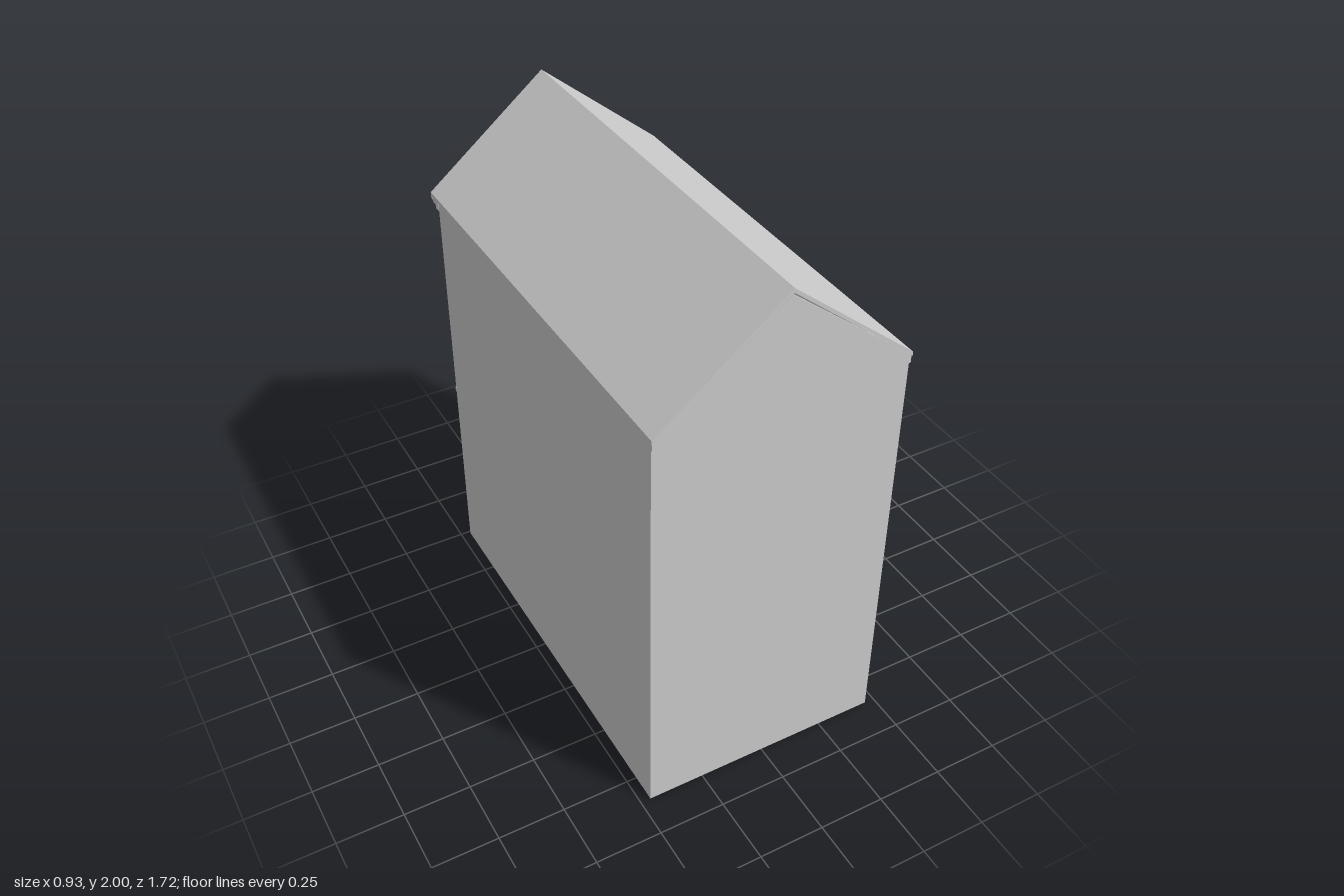
import * as THREE from 'three';

const stone = new THREE.MeshStandardMaterial({ color: 0xcccccc, side: THREE.DoubleSide });
stone.name = 'pale grey';

const W = 0.462, FACE = -0.74, BACK = 0.855, EAVE = 1.61, SLOPE = 0.378 / 0.465;

function add(parent, name, geometry) {
  const mesh = new THREE.Mesh(geometry, stone);
  mesh.name = name;
  parent.add(mesh);
  return mesh;
}

// Box given by its limits on each axis
function box(parent, name, x0, x1, y0, y1, z0, z1) {
  const mesh = add(parent, name, new THREE.BoxGeometry(x1 - x0, y1 - y0, z1 - z0));
  mesh.position.set((x0 + x1) / 2, (y0 + y1) / 2, (z0 + z1) / 2);
  return mesh;
}

const outline = (points) => new THREE.Shape(points.map(([x, y]) => new THREE.Vector2(x, y)));

// Outline in x and y, pushed along z
function prism(parent, name, points, z0, z1) {
  const g = new THREE.ExtrudeGeometry(outline(points), { depth: z1 - z0, bevelEnabled: false });
  g.translate(0, 0, z0);
  return add(parent, name, g);
}

// Outline in z and y, pushed along x
function sideways(parent, name, points, x0, x1) {
  const g = new THREE.ExtrudeGeometry(outline(points.map(([z, y]) => [-z, y])), { depth: x1 - x0, bevelEnabled: false });
  g.rotateY(Math.PI / 2).translate(x0, 0, 0);
  return add(parent, name, g);
}

// Window facing local +z with its centre at the origin
function makeWindow(name, w, h, cols, rows, { bar = 0.014, depth = 0.012, sill = true } = {}) {
  const g = new THREE.Group();
  g.name = name;
  const a = w / 2, b = h / 2;
  box(g, 'glass', -a, a, -b, b, 0, 0.002);
  for (const s of [-1, 1]) {
    const x = s * (a - bar / 2), y = s * (b - bar / 2);
    box(g, 'frameSide', x - bar / 2, x + bar / 2, -b, b, 0, depth);
    box(g, 'frameRail', -a, a, y - bar / 2, y + bar / 2, 0, depth);
  }
  for (let i = 1; i < cols; i++) {
    const x = -a + (w * i) / cols;
    box(g, 'mullion', x - 0.004, x + 0.004, -b, b, 0, depth * 0.6);
  }
  for (let i = 1; i < rows; i++) {
    const y = -b + (h * i) / rows;
    box(g, 'glazingBar', -a, a, y - 0.004, y + 0.004, 0, depth * 0.6);
  }
  if (sill) {
    box(g, 'sill', -a - 0.01, a + 0.01, -b - 0.014, -b, 0, depth + 0.01);
    box(g, 'head', -a - 0.008, a + 0.008, b, b + 0.012, 0, depth + 0.006);
  }
  return g;
}

function place(parent, obj, x, y, z, turn) {
  obj.position.set(x, y, z);
  obj.rotation.y = turn;
  parent.add(obj);
}

function buildShell(house) {
  // Open-bottomed walls, with a doorway cut in the street wall
  for (const s of [-1, 1]) {
    const g = new THREE.PlaneGeometry(BACK - FACE, EAVE);
    g.rotateY((s * Math.PI) / 2).translate(s * W, EAVE / 2, (BACK + FACE) / 2);
    add(house, 'sideWall', g);
  }
  const apex = EAVE + W * SLOPE - 0.01;
  add(house, 'rearWall', new THREE.PlaneGeometry(W * 2, EAVE).translate(0, EAVE / 2, BACK));
  prism(house, 'rearGable', [[-W, 1.58], [W, 1.58], [W, EAVE], [0, apex], [-W, EAVE]], BACK, 0.863);
  const street = new THREE.ShapeGeometry(outline([
    [-W, 0], [0.19, 0], [0.19, 0.72], [0.385, 0.72], [0.385, 0], [W, 0], [W, EAVE], [0, apex], [-W, EAVE]]));
  // Turn the sheet to face -z without mirroring the layout
  const index = street.index.array;
  for (let i = 0; i < index.length; i += 3) [index[i], index[i + 1]] = [index[i + 1], index[i]];
  street.attributes.normal.array.forEach((v, i, n) => { n[i] = -v; });
  add(house, 'streetWall', street.translate(0, 0, FACE));

  // Roof
  const t = 0.016;
  prism(house, 'roof', [[0, 2], [-0.465, 1.622], [-0.465, 1.622 - t], [0, 2 - t], [0.465, 1.622 - t], [0.465, 1.622]], -0.79, 0.865);
  prism(house, 'bargeBoard', [[0, 2], [-0.465, 1.622], [-0.465, 1.598], [0, 1.97], [0.465, 1.598], [0.465, 1.622]], -0.802, -0.788);
}

function buildGable(house) {
  // Overlapping boards trimmed to the roof slope
  const half = (y) => (1.98 - y) / SLOPE;
  for (let i = 0; i < 6; i++) {
    const y0 = 1.625 + i * 0.055, y1 = y0 + 0.05;
    prism(house, 'gableBoard', [[-half(y0), y0], [half(y0), y0], [half(y1), y1], [-half(y1), y1]], FACE - 0.006, FACE);
  }
  place(house, makeWindow('gableWindow', 0.11, 0.12, 1, 1, { bar: 0.016, depth: 0.018 }), 0, 1.81, FACE - 0.004, Math.PI);
  // Small blocks below the sloping edges
  for (const s of [-1, 1]) for (let i = 1; i < 22; i++) {
    const x = s * i * 0.02, y = 1.972 - Math.abs(x) * SLOPE;
    box(house, 'rakeDentil', x - 0.005, x + 0.005, y - 0.016, y, -0.788, -0.776);
  }
  // Cornice and its brackets
  box(house, 'cornice', -0.465, 0.465, 1.59, 1.608, -0.785, FACE);
  box(house, 'corniceBed', -0.463, 0.463, 1.572, 1.59, -0.768, FACE);
  for (let i = 0; i < 5; i++) {
    const x = 0.1 + i * 0.08;
    sideways(house, 'corniceBracket', [[FACE, 1.53], [FACE, 1.572], [-0.778, 1.572], [-0.778, 1.56]], x - 0.012, x + 0.012);
  }
}

function buildBay(house) {
  const bay = new THREE.Group();
  bay.name = 'bayWindow';
  house.add(bay);
  const x0 = -0.345, x1 = 0.035, front = -0.845, mid = (x0 + x1) / 2;
  box(bay, 'bayBody', x0, x1, 0.815, 1.555, front, FACE);
  box(bay, 'bayCap', x0 - 0.01, x1 + 0.01, 1.555, 1.567, -0.86, FACE);
  for (const [y0, y1] of [[0.83, 0.85], [1.158, 1.176]])
    box(bay, 'bayBand', x0 - 0.006, x1 + 0.006, y0, y1, front - 0.006, FACE);
  // Wedge supports
  for (const x of [x0 + 0.035, mid, x1 - 0.035])
    sideways(bay, 'baySupport', [[FACE, 0.765], [FACE, 0.815], [front, 0.815], [front, 0.808]], x - 0.035, x + 0.035);
  for (const [y, h] of [[0.99, 0.22], [1.35, 0.235]]) {
    place(bay, makeWindow('bayFrontWindow', 0.3, h, 2, 2, { bar: 0.018, depth: 0.009, sill: false }), mid, y, front, Math.PI);
    box(bay, 'baySill', mid - 0.165, mid + 0.165, y - h / 2 - 0.012, y - h / 2, front - 0.012, front);
    box(bay, 'bayHead', mid - 0.165, mid + 0.165, y + h / 2, y + h / 2 + 0.01, front - 0.01, front);
    for (const [x, s] of [[x0, -1], [x1, 1]])
      place(bay, makeWindow('baySideWindow', 0.066, h + 0.01, 1, 2, { depth: 0.008, sill: false }), x, y, -0.792, (s * Math.PI) / 2);
  }
}

function buildUpperWindows(house) {
  for (const [y, h] of [[0.995, 0.225], [1.345, 0.245]]) {
    for (const x of [0.218, 0.352])
      place(house, makeWindow('sashWindow', 0.118, h, 1, 2, { bar: 0.016 }), x, y, FACE, Math.PI);
    box(house, 'windowSill', 0.14, 0.432, y - h / 2 - 0.018, y - h / 2, FACE - 0.024, FACE);
    box(house, 'windowHead', 0.14, 0.432, y + h / 2, y + h / 2 + 0.016, FACE - 0.02, FACE);
  }
  box(house, 'floorBand', -W, W, 0.755, 0.772, FACE - 0.008, FACE);
}

function buildEntrance(house) {
  // Recessed porch with steps up to the door
  const a = 0.19, b = 0.385, deep = -0.6;
  for (const x of [a, b])
    add(house, 'porchWall', new THREE.PlaneGeometry(deep - FACE, 0.72)
      .rotateY(x === a ? Math.PI / 2 : -Math.PI / 2).translate(x, 0.36, (deep + FACE) / 2));
  add(house, 'porchCeiling', new THREE.PlaneGeometry(b - a, deep - FACE)
    .rotateX(Math.PI / 2).translate((a + b) / 2, 0.72, (deep + FACE) / 2));
  add(house, 'porchBack', new THREE.PlaneGeometry(b - a, 0.72).rotateY(Math.PI).translate((a + b) / 2, 0.36, deep));
  for (let i = 0; i < 7; i++)
    box(house, 'step', a, b, i * 0.045, (i + 1) * 0.045, FACE + 0.002 + i * 0.017, deep);
  place(house, makeWindow('door', 0.13, 0.34, 1, 1, { bar: 0.02, depth: 0.008, sill: false }), (a + b) / 2, 0.487, deep, Math.PI);
  // Surround
  box(house, 'doorJamb', a - 0.018, a, 0.325, 0.75, FACE - 0.008, FACE);
  box(house, 'doorJamb', b, b + 0.018, 0.325, 0.75, FACE - 0.008, FACE);
  box(house, 'doorLintel', a, b, 0.72, 0.75, FACE - 0.008, FACE);
}

function buildShutter(house) {
  place(house, makeWindow('shutterFrame', 0.38, 0.32, 1, 1, { bar: 0.016, depth: 0.01, sill: false }), -0.178, 0.493, FACE, Math.PI);
  for (let i = 0; i < 4; i++) {
    const y = 0.351 + i * 0.072;
    box(house, 'shutterPanel', -0.35, -0.006, y, y + 0.067, FACE - 0.005, FACE);
  }
}

export function createModel() {
  const house = new THREE.Group();
  house.name = 'terracedHouse';
  buildShell(house);
  buildGable(house);
  buildBay(house);
  buildUpperWindows(house);
  buildEntrance(house);
  buildShutter(house);
  return house;
}
